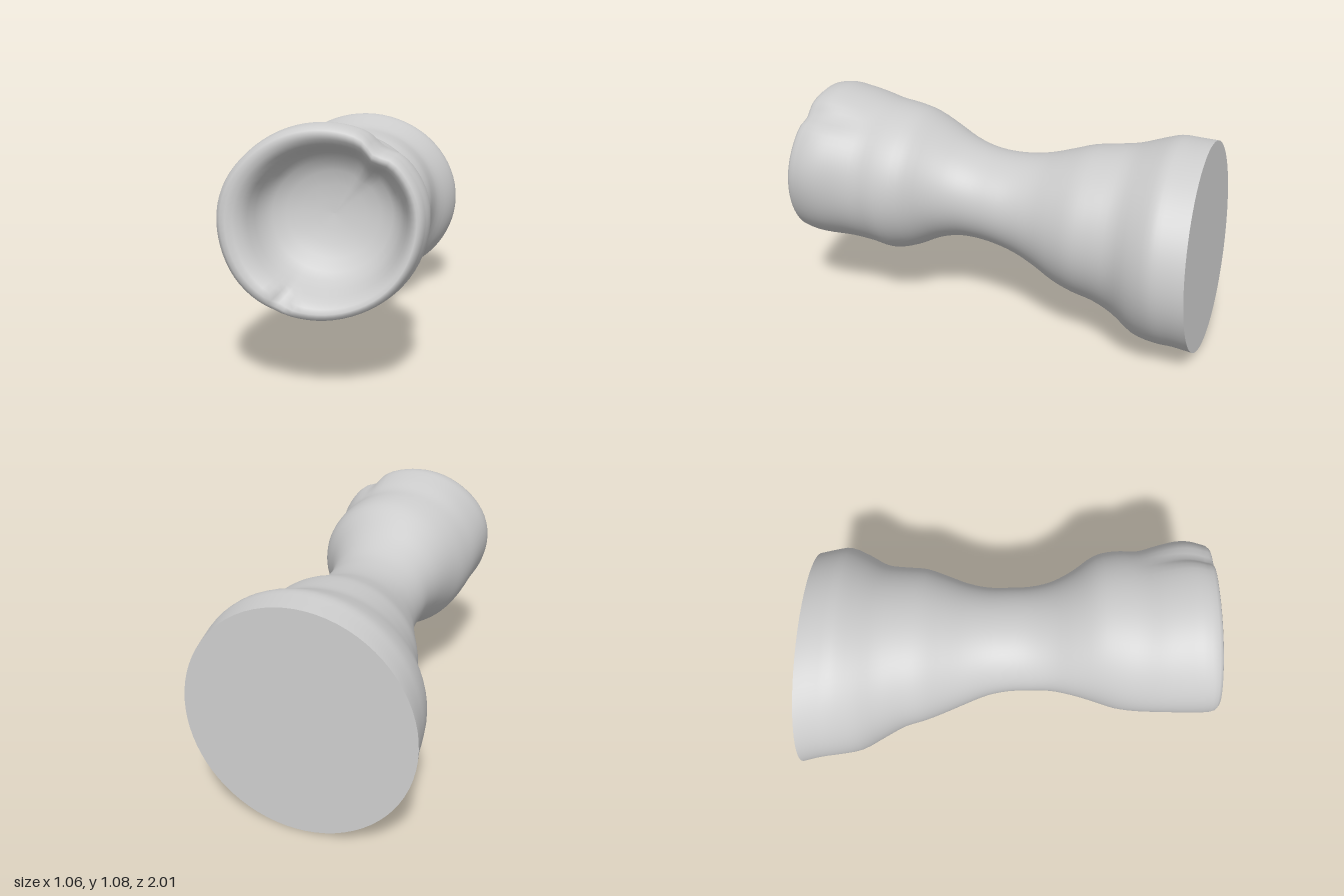
import * as THREE from 'three';

const SEG = 72;

// Body stations from back to front: z, left x, right x, bottom y, top y
const STATIONS = [
  [-0.965, -0.53, 0.507, 0.005, 0.965],
  [-0.88, -0.512, 0.52, 0.028, 0.975],
  [-0.8, -0.5, 0.525, 0.035, 0.98],
  [-0.7, -0.475, 0.49, 0.052, 0.952],
  [-0.6, -0.42, 0.435, 0.12, 0.922],
  [-0.5, -0.37, 0.415, 0.175, 0.912],
  [-0.4, -0.34, 0.405, 0.205, 0.9],
  [-0.3, -0.3, 0.37, 0.24, 0.87],
  [-0.2, -0.26, 0.33, 0.295, 0.84],
  [-0.1, -0.225, 0.305, 0.345, 0.826],
  [0, -0.21, 0.3, 0.38, 0.825],
  [0.1, -0.21, 0.3, 0.396, 0.838],
  [0.2, -0.216, 0.315, 0.396, 0.878],
  [0.3, -0.24, 0.36, 0.374, 0.94],
  [0.4, -0.27, 0.43, 0.332, 0.998],
  [0.5, -0.3, 0.455, 0.304, 1.02],
  [0.6, -0.316, 0.45, 0.314, 1.03],
  [0.7, -0.326, 0.468, 0.33, 1.055],
  [0.8, -0.332, 0.485, 0.332, 1.075],
  [0.87, -0.334, 0.483, 0.333, 1.085],
  [0.92, -0.33, 0.47, 0.338, 1.08],
];

// Rim and hollow: z offset from the rim plane, fraction of the outer radius
const HOLLOW = [
  [-0.015, 0.985], [0, 0.95], [0.004, 0.91], [-0.004, 0.86], [-0.022, 0.81],
  [-0.055, 0.77], [-0.1, 0.73], [-0.145, 0.68], [-0.18, 0.6], [-0.205, 0.47],
  [-0.22, 0.32], [-0.228, 0.16], [-0.23, 0.001],
];

const smooth = THREE.MathUtils.smoothstep;
const bump = (a, centre, width) => {
  const d = Math.atan2(Math.sin(a - centre), Math.cos(a - centre));
  return Math.exp(-((d / width) ** 2));
};

// Interpolates one column of the stations
function sample(col, t) {
  const n = STATIONS.length - 1;
  const i = Math.min(Math.floor(t * n), n - 1);
  const f = t * n - i;
  const p = k => STATIONS[THREE.MathUtils.clamp(k, 0, n)][col];
  const [a, b, c, d] = [p(i - 1), p(i), p(i + 1), p(i + 2)];
  return b + 0.5 * f * (c - a + f * (2 * a - 5 * b + 4 * c - d + f * (3 * (b - c) + d - a)));
}

// Point on the outer skin, with the groove, slight dents and both slanted ends
function skinPoint(t, a) {
  const [z, x0, x1, y0, y1] = [0, 1, 2, 3, 4].map(c => sample(c, t));
  const front = smooth(z, 0.55, 0.9);
  const dents = 0.008 * smooth(z, 0.4, 0.8) * Math.sin(5 * a + 7 * z) * Math.cos(a) ** 2;
  const k = 1 - 0.075 * front * bump(a, 0.95, 0.13) + dents;
  const x = (x0 + x1) / 2 + (x1 - x0) / 2 * k * Math.cos(a);
  const y = (y0 + y1) / 2 + (y1 - y0) / 2 * k * Math.sin(a);
  const back = 1 - smooth(z, -0.965, -0.55);
  const dz = back * (0.05 * x + 0.07 * (y - 0.485)) + front * rimTilt(x, y);
  return new THREE.Vector3(x, y, z + dz);
}

function rimTilt(x, y) {
  return -0.11 * (y - 0.71) - 0.03 * (x - 0.07);
}

// Point on the rounded rim or inside the hollow
function hollowPoint([dz, s], a) {
  const edge = skinPoint(1, a);
  const shift = smooth(1 - s, 0, 0.25);
  const x = THREE.MathUtils.lerp(0.07, edge.x, s) + 0.025 * shift;
  const y = THREE.MathUtils.lerp(0.71, edge.y, s);
  // Small nick in the lower part of the rim
  const nick = 0.04 * bump(a, 4.28, 0.09) * bump(s, 0.85, 0.1);
  return new THREE.Vector3(x, y, 0.957 + dz + rimTilt(x, y) - nick);
}

// Closed rings joined into one smooth skin
function loft(rings) {
  const index = [];
  for (let i = 0; i < rings.length - 1; i++) {
    for (let j = 0; j < SEG; j++) {
      const a = i * SEG + j, b = i * SEG + (j + 1) % SEG;
      index.push(a, b, a + SEG, b, b + SEG, a + SEG);
    }
  }
  const geometry = new THREE.BufferGeometry().setFromPoints(rings.flat());
  geometry.setIndex(index);
  geometry.computeVertexNormals();
  return geometry;
}

export function createModel() {
  const group = new THREE.Group();
  group.name = 'waistedStem';
  const material = new THREE.MeshStandardMaterial({ color: 0xcccccc });
  const ring = point => Array.from({ length: SEG }, (_, j) => point(j / SEG * Math.PI * 2));
  const add = (name, geometry) => {
    const mesh = new THREE.Mesh(geometry, material);
    mesh.name = name;
    group.add(mesh);
  };

  // Waisted body, rolled rim and hollow front end
  const steps = 60;
  const rings = [];
  for (let i = 0; i <= steps; i++) rings.push(ring(a => skinPoint(i / steps, a)));
  for (const row of HOLLOW) rings.push(ring(a => hollowPoint(row, a)));
  add('bodyWithHollowEnd', loft(rings));

  // Flat slanted cut closing the wide back end
  const outline = rings[0].map(p => p.clone()).reverse();
  const centre = outline.reduce((s, p) => s.add(p), new THREE.Vector3()).divideScalar(SEG);
  add('flatBackEnd', loft([outline.slice().reverse().map(() => centre.clone()), rings[0].map(p => p.clone())]));

  return group;
}
